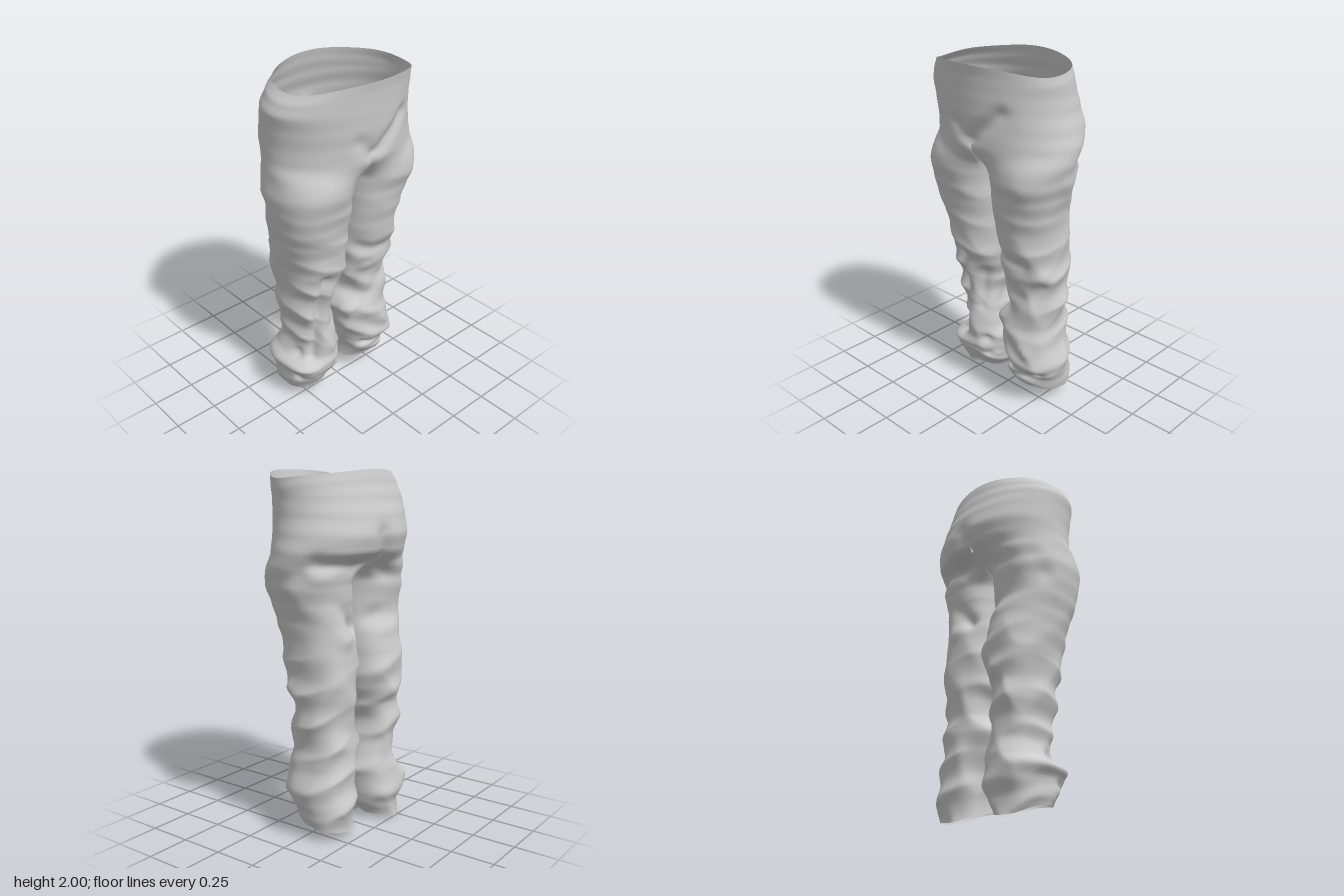
import * as THREE from 'three';
import { mergeVertices } from 'three/addons/utils/BufferGeometryUtils.js';

const CROTCH = 1.58, TOP = 1.975, HEM = 0.05;
const OUT = 44, INN = 16; // columns on the outer and inner part of a leg

// Hip sections shared by both sides: height, right x, left x, front z, back z
const hips = [
  [1.98, 0.38, 0.39, 0.33, -0.245], [1.92, 0.425, 0.4, 0.32, -0.26], [1.85, 0.45, 0.4, 0.315, -0.285],
  [1.76, 0.44, 0.41, 0.31, -0.315], [1.66, 0.435, 0.435, 0.3, -0.335], [1.58, 0.435, 0.455, 0.295, -0.315],
];
// Leg sections: height, inner x, outer x (away from the middle), front z, back z
const legs = {
  right: [
    [1.5, 0.004, 0.445, 0.29, -0.27], [1.4, 0.004, 0.455, 0.275, -0.225], [1.3, 0.004, 0.45, 0.25, -0.205],
    [1.2, 0.004, 0.43, 0.23, -0.2], [1.1, 0.004, 0.405, 0.21, -0.23], [1.0, 0.004, 0.38, 0.2, -0.255],
    [0.9, 0.004, 0.365, 0.185, -0.27], [0.8, 0.015, 0.35, 0.165, -0.265], [0.7, 0.055, 0.34, 0.14, -0.24],
    [0.6, 0.075, 0.335, 0.13, -0.255], [0.5, 0.07, 0.31, 0.125, -0.235], [0.4, 0.03, 0.31, 0.125, -0.23],
    [0.3, 0.012, 0.335, 0.13, -0.26], [0.24, 0.012, 0.395, 0.15, -0.27], [0.19, 0.02, 0.37, 0.14, -0.28],
    [0.13, 0.04, 0.36, 0.12, -0.25], [0.05, 0.085, 0.335, 0.085, -0.24],
  ],
  left: [
    [1.5, 0.004, 0.455, 0.285, -0.24], [1.4, 0.004, 0.43, 0.27, -0.19], [1.3, 0.004, 0.4, 0.245, -0.18],
    [1.2, 0.004, 0.372, 0.225, -0.19], [1.1, 0.004, 0.362, 0.205, -0.205], [1.0, 0.004, 0.36, 0.19, -0.215],
    [0.9, 0.004, 0.36, 0.165, -0.215], [0.8, 0.008, 0.365, 0.135, -0.21], [0.7, 0.035, 0.355, 0.125, -0.2],
    [0.6, 0.05, 0.35, 0.135, -0.2], [0.5, -0.025, 0.34, 0.14, -0.21], [0.4, 0.01, 0.36, 0.15, -0.21],
    [0.28, 0.045, 0.385, 0.155, -0.22], [0.2, 0.055, 0.37, 0.15, -0.23], [0.12, 0.06, 0.355, 0.12, -0.225],
    [0.05, 0.062, 0.345, 0.09, -0.215],
  ],
};

// Creases in the cloth: start, end, width, depth (negative depth is a ridge)
const creases = [
  [[0.01, 1.6, 0.3], [0.2, 1.76, 0.27], 0.04, 0.025],
  [[-0.02, 1.6, 0.3], [-0.1, 1.68, 0.3], 0.04, 0.014],
  [[0, 1.56, -0.31], [0.04, 1.66, -0.33], 0.05, 0.03],
  [[0.04, 1.5, -0.26], [0.38, 1.52, -0.14], 0.06, 0.04],
  [[0.4, 1.48, -0.06], [0.1, 1.16, -0.18], 0.04, 0.045],
  [[0.43, 1.4, 0.02], [0.2, 1.1, -0.2], 0.04, -0.012],
  [[-0.05, 1.46, -0.25], [-0.36, 1.42, -0.15], 0.05, 0.025],
  [[-0.05, 1.2, -0.18], [-0.4, 1.3, -0.1], 0.05, 0.02],
  [[0.03, 0.95, 0.14], [0.25, 0.9, 0.17], 0.04, 0.018],
  [[0.1, 0.8, 0.13], [0.33, 0.84, 0.08], 0.035, -0.016],
  [[0.06, 0.5, 0.12], [0.32, 0.78, 0.08], 0.04, 0.02],
  [[0.0, 0.5, 0.05], [0.26, 0.36, 0.15], 0.035, -0.016],
  [[0.08, 0.22, 0.13], [0.34, 0.19, 0.1], 0.025, 0.025],
  [[-0.22, 0.85, 0.17], [-0.27, 0.3, 0.1], 0.035, 0.04],
  [[-0.09, 0.75, 0.1], [-0.12, 0.52, 0.1], 0.04, 0.025],
  [[-0.08, 0.3, 0.1], [-0.36, 0.32, 0.0], 0.03, 0.022],
  [[-0.05, 0.18, 0.1], [-0.35, 0.16, 0.05], 0.025, 0.02],
].map(([a, b, width, depth]) => ({
  line: new THREE.Line3(new THREE.Vector3(...a), new THREE.Vector3(...b)), width, depth,
}));

const { smoothstep, lerp } = THREE.MathUtils;
const bend = (v, e) => Math.sign(v) * Math.abs(v) ** e;

// Section at a height, eased between the rows of a table
function section(table, y) {
  let i = 0;
  while (i < table.length - 2 && y < table[i + 1][0]) i++;
  const t = smoothstep(-y, -table[i][0], -table[i + 1][0]);
  return table[i].map((v, k) => lerp(v, table[i + 1][k], t * 0.6 +
    0.4 * THREE.MathUtils.clamp((table[i][0] - y) / (table[i][0] - table[i + 1][0]), 0, 1)));
}

// Crossing ridges of bunched cloth, strongest below the knee
function wrinkle(y, a, seed) {
  const r = (v) => 1 - 2 * Math.abs(Math.sin(v));
  const f = r(y * 17 + 1.3 * Math.sin(a + seed) + seed) * (0.6 + 0.4 * Math.sin(2 * a + seed + y * 5))
    + 0.5 * r(y * 9 + 1.6 * Math.sin(2 * a - seed)) + 0.35 * Math.sin(3 * a + y * 13 + seed);
  return f * (0.003 + 0.009 * (1 - smoothstep(y, 0.75, 1.2)));
}

// A point of one trouser side; column runs front, outside, back, then inside of the leg
function clothPoint(side, y, col) {
  const s = side === 'left' ? 1 : -1, seed = s > 0 ? 0.7 : 2.9;
  const table = hips.map(([h, r, l, f, b]) => [h, 0, s > 0 ? l : r, f, b]).concat(legs[side]);
  const [, xi, xo, zf, zb] = section(table, y);
  const w = smoothstep(y, 1.4, CROTCH); // 1 on the hips, 0 on the leg
  const cx = (xi + xo) / 2, cz = (zf + zb) / 2, rx = (xo - xi) / 2, rz = (zf - zb) / 2;
  const inner = col > OUT, t = inner ? (col - OUT) / INN : col / OUT;
  const a = inner ? Math.PI + 0.9 + t * (Math.PI - 1.8) : -0.9 + t * (Math.PI + 1.8);
  const legX = cx + rx * bend(Math.sin(a), 0.85), legZ = cz + rz * bend(Math.cos(a), 0.85);
  const hipX = inner ? 0 : xo * Math.max(0, Math.sin(t * Math.PI)) ** 0.95;
  const hipZ = inner ? lerp(zb, zf, t) : cz + rz * Math.cos(t * Math.PI);
  const p = new THREE.Vector3(s * lerp(legX, hipX, w), y, lerp(legZ, hipZ, w));

  // push the cloth in and out around the leg axis
  const axis = s * cx * (1 - w);
  const dir = new THREE.Vector3(p.x - axis, 0, p.z - cz).normalize();
  let d = wrinkle(y, a, seed) * (1 - w);
  if (!inner || w < 0.5) {
    const near = new THREE.Vector3();
    for (const c of creases) {
      c.line.closestPointToPoint(p, true, near);
      d -= c.depth * Math.exp(-near.distanceToSquared(p) / c.width ** 2);
    }
  }
  const seam = (inner || col === 0 || col === OUT) && w === 1;
  p.addScaledVector(dir, d);
  if (seam) p.x = 0;
  else if (y > 0.8) p.x = s * Math.max(s * p.x, 0); // sides meet without crossing

  // sagging crotch seam, wavy waist rim and slanted hem
  if (inner) p.y -= 0.09 * Math.sin(t * Math.PI) * w;
  p.y += smoothstep(y, 1.8, TOP) * (0.022 * Math.cos(2 * t * Math.PI)
    + 0.006 * Math.sin(t * Math.PI) * Math.sin(4 * t * Math.PI));
  p.y += (1 - smoothstep(y, HEM, 0.3)) * (0.27 * (p.z + 0.07) + (s > 0 ? 0.03 : 0.002) - 0.005
    + 0.008 * Math.sin(3 * a + seed));
  return p;
}

// Grid of cloth between two heights
function addCloth(side, y0, y1, rows, cols, pos, index) {
  const base = pos.length / 3;
  for (let j = 0; j <= rows; j++) {
    for (let i = 0; i <= cols; i++) {
      const col = i === OUT + INN ? 0 : i; // closes the leg
      pos.push(...clothPoint(side, lerp(y0, y1, j / rows), col).toArray());
    }
  }
  for (let j = 0; j < rows; j++) {
    for (let i = 0; i < cols; i++) {
      const a = base + j * (cols + 1) + i, b = a + 1, c = a + cols + 1, d = c + 1;
      if (side === 'left') index.push(a, c, b, b, c, d);
      else index.push(a, b, c, b, d, c);
    }
  }
}

export function createModel() {
  const pos = [], index = [];
  for (const side of ['right', 'left']) {
    addCloth(side, TOP, CROTCH, 28, OUT, pos, index);
    addCloth(side, CROTCH, HEM, 110, OUT + INN, pos, index);
  }
  let geometry = new THREE.BufferGeometry();
  geometry.setAttribute('position', new THREE.Float32BufferAttribute(pos, 3));
  geometry.setIndex(index);
  geometry = mergeVertices(geometry, 1e-4);
  geometry.computeVertexNormals();

  // One continuous open garment: hips and both legs
  const trousers = new THREE.Mesh(geometry,
    new THREE.MeshStandardMaterial({ color: 0xcccccc, side: THREE.DoubleSide }));
  trousers.name = 'trousers';
  const group = new THREE.Group();
  group.name = 'trousersModel';
  group.add(trousers);
  return group;
}
